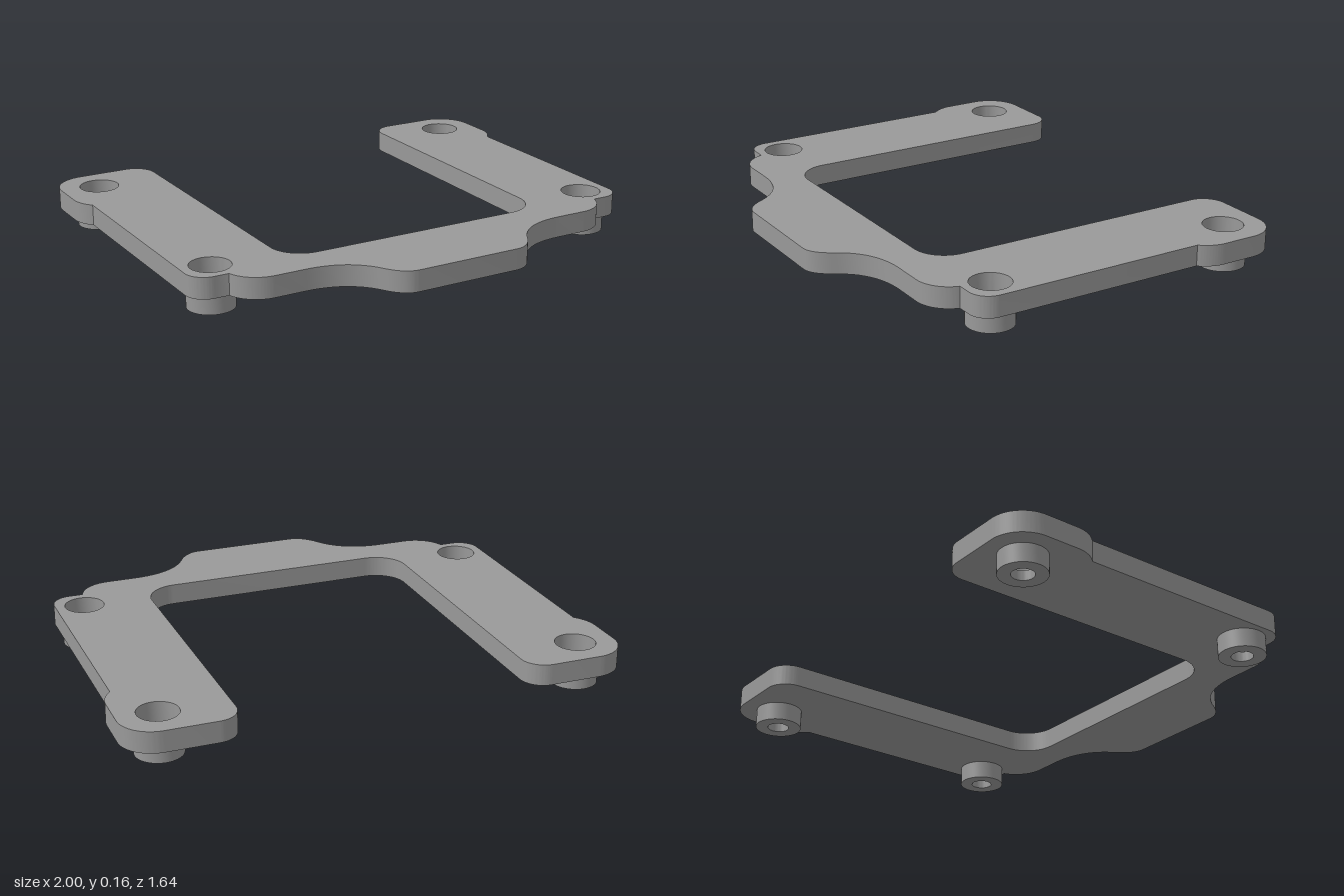
import * as THREE from 'three';
import { toCreasedNormals } from 'three/addons/utils/BufferGeometryUtils.js';

const PLATE_BOTTOM = 0.075, PLATE_TOP = 0.16;
const BOSS_R = 0.093, BORE_R = 0.08, HOLE_R = 0.043, BORE_FLOOR = 0.04;
const BOSSES = [[-0.842, -0.67], [0.842, -0.67], [-0.842, 0.39], [0.842, 0.39]];

// Outline of the plate's left half in (x, z), front centre to inner centre
function halfOutline() {
  const q = Math.PI / 2;
  const p = new THREE.Path();
  p.moveTo(0.215, 0.82);
  p.quadraticCurveTo(0.275, 0.82, 0.32, 0.74);           // front tab corner
  p.quadraticCurveTo(0.395, 0.607, 0.57, 0.607);         // concave sweep
  p.absarc(0.69, 0.47, 0.137, q, 0.26, true);            // crossbar shoulder
  p.lineTo(0.823, 0.505);
  p.absarc(0.88, 0.425, 0.08, q, 0, true);               // front boss corner
  p.absarc(0.86, -0.55, 0.14, q / 2, 0, true);           // rear pad bulge
  p.absarc(0.865, -0.69, 0.135, 0, -q, true);            // rear outer corner
  p.absarc(0.66, -0.735, 0.09, -q, -2 * q, true);        // rear inner corner
  p.absarc(0.44, 0.34, 0.13, 0, q, false);               // inner fillet
  const pts = p.getPoints(16);
  return pts.filter((v, i) => i === 0 || v.distanceTo(pts[i - 1]) > 1e-4);
}

function plateGeometry() {
  const half = halfOutline().map(v => new THREE.Vector2(v.x, -v.y));
  const mirrored = half.map(v => new THREE.Vector2(-v.x, v.y)).reverse();
  const shape = new THREE.Shape([...half, ...mirrored]);
  for (const [x, z] of BOSSES) {
    shape.holes.push(new THREE.Path().absarc(x, -z, BORE_R, 0, Math.PI * 2, true));
  }
  const geo = new THREE.ExtrudeGeometry(shape, {
    depth: PLATE_TOP - PLATE_BOTTOM, bevelEnabled: false, curveSegments: 24,
  });
  geo.rotateX(-Math.PI / 2).translate(0, PLATE_BOTTOM, 0);
  return toCreasedNormals(geo, 0.6);
}

// Hollow boss: wide bore above, narrow screw hole below
function bossGeometry() {
  const profile = [
    [BORE_R, PLATE_BOTTOM], [BORE_R, BORE_FLOOR], [HOLE_R, BORE_FLOOR],
    [HOLE_R, 0], [BOSS_R, 0], [BOSS_R, PLATE_BOTTOM],
  ].map(([r, y]) => new THREE.Vector2(r, y));
  return toCreasedNormals(new THREE.LatheGeometry(profile, 48), 0.6);
}

export function createModel() {
  const grey = new THREE.MeshStandardMaterial({ color: 0x999999 });
  grey.name = 'grey';
  const model = new THREE.Group();
  model.name = 'mountingBracket';

  const plate = new THREE.Mesh(plateGeometry(), grey);
  plate.name = 'plate';
  model.add(plate);

  const bossGeo = bossGeometry();
  for (const [x, z] of BOSSES) {
    const boss = new THREE.Mesh(bossGeo, grey);
    boss.name = (z < 0 ? 'rear' : 'front') + (x > 0 ? 'Left' : 'Right') + 'Boss';
    boss.position.set(x, 0, z);
    model.add(boss);
  }
  return model;
}
